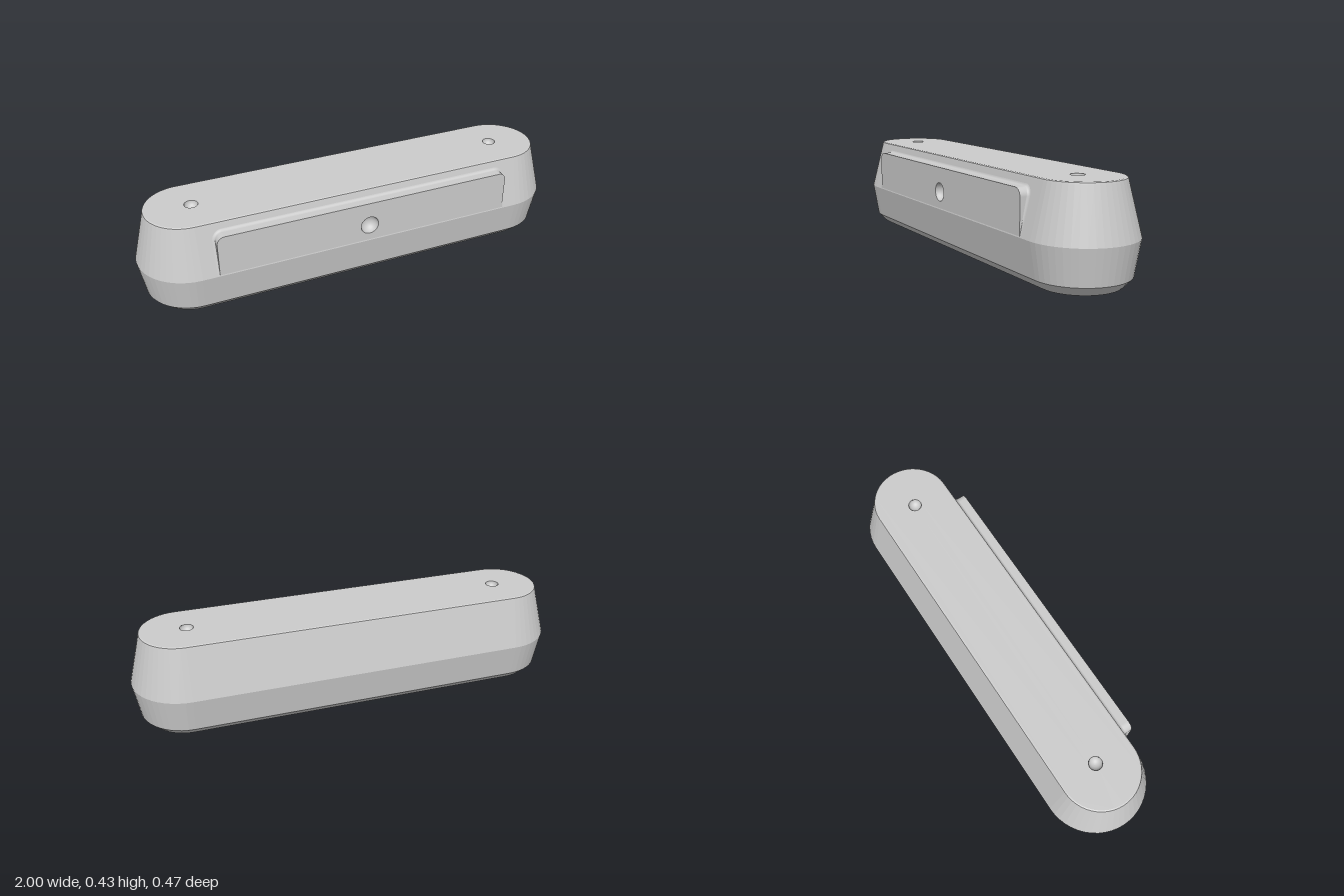
import * as THREE from 'three';

const HALF = 0.764;          // half length of the straight run
const ARC = 24;              // facets on each round end
const WAIST = [0.195, 0.236], SHOULDER = [0.42, 0.179];
const HOLE_X = 0.735, HOLE_R = 0.03;
const DISH_Y = 0.275, DISH_R = 0.042;
const PANEL_X = 0.69, PANEL_TOP = 0.388, PANEL_Z = 0.235, CORNER = 0.035;

const mat = new THREE.MeshStandardMaterial({ color: 0xcccccc, flatShading: true });
const smooth = new THREE.MeshStandardMaterial({ color: 0xcccccc, side: THREE.DoubleSide });

// depth of the sloping upper front wall at height y
const wallZ = y => WAIST[1] + (SHOULDER[1] - WAIST[1]) * (y - WAIST[0]) / (SHOULDER[0] - WAIST[0]);

function add(parent, name, geometry, material = mat) {
  const mesh = new THREE.Mesh(geometry, material);
  mesh.name = name;
  parent.add(mesh);
  return mesh;
}

// round-ended outline with end radius r
function stadium(r) {
  const pts = [];
  for (const s of [1, -1])
    for (let i = 0; i <= ARC; i++) {
      const a = -Math.PI / 2 + Math.PI * i / ARC;
      pts.push(new THREE.Vector2(s * (HALF + r * Math.cos(a)), s * r * Math.sin(a)));
    }
  return pts;
}

function circle(x, y, r) {
  return new THREE.Path().absarc(x, y, r, 0, Math.PI * 2, true);
}

// side walls lofted through [height, end radius] rows
function wallGeometry(rows, skip) {
  const pos = [];
  for (let k = 0; k < rows.length - 1; k++) {
    const lo = stadium(rows[k][1]), hi = stadium(rows[k + 1][1]);
    for (let i = 0; i < lo.length; i++) {
      if (skip(k, i)) continue;
      const j = (i + 1) % lo.length;
      const a = [lo[i].x, rows[k][0], lo[i].y], b = [lo[j].x, rows[k][0], lo[j].y];
      const c = [hi[i].x, rows[k + 1][0], hi[i].y], d = [hi[j].x, rows[k + 1][0], hi[j].y];
      pos.push(...a, ...c, ...b, ...b, ...c, ...d);
    }
  }
  const g = new THREE.BufferGeometry();
  g.setAttribute('position', new THREE.Float32BufferAttribute(pos, 3));
  g.computeVertexNormals();
  return g;
}

// rounded hollow, opening towards +y
function dishGeometry(r, depth) {
  const pts = [];
  for (let i = 0; i <= 8; i++) {
    const a = Math.PI / 2 * i / 8;
    pts.push(new THREE.Vector2(r * Math.sin(a), -depth * Math.cos(a)));
  }
  return new THREE.LatheGeometry(pts, 32);
}

// small concave blend between the panel rim and the sloping wall
function filletGeometry(f, steps) {
  const path = [[PANEL_X, WAIST[0] + 0.005, 0]];
  for (const s of [1, -1])
    for (let i = 0; i <= 8; i++) {
      const a = Math.PI / 2 * (s > 0 ? i : 8 - i) / 8;
      path.push([s * (PANEL_X - CORNER + CORNER * Math.cos(a)), PANEL_TOP - CORNER + CORNER * Math.sin(a), s > 0 ? a : Math.PI - a]);
    }
  path.push([-PANEL_X, WAIST[0] + 0.005, Math.PI]);
  const pos = [], index = [];
  path.forEach(([x, y, a], i) => {
    for (let k = 0; k <= steps; k++) {
      const t = Math.PI / 2 * k / steps, out = f * (1 - Math.sin(t));
      const py = y + Math.sin(a) * out;
      const z = wallZ(py) + f * (1 - Math.cos(t));
      pos.push(x + Math.cos(a) * out, py, Math.min(z, PANEL_Z));
      if (i && k) {
        const q = i * (steps + 1) + k, p = q - steps - 1;
        index.push(p - 1, p, q - 1, q - 1, p, q);
      }
    }
  });
  const g = new THREE.BufferGeometry();
  g.setAttribute('position', new THREE.Float32BufferAttribute(pos, 3));
  g.setIndex(index);
  g.computeVertexNormals();
  return g;
}

export function createModel() {
  const model = new THREE.Group();
  model.name = 'capsuleHousing';

  // body walls, leaving the upper front open for the pierced wall
  const rows = [[0.005, 0.16], [0, 0.162], [0, 0.171], [0.04, 0.21], WAIST, SHOULDER, [0.427, 0.177], [0.43, 0.171]];
  const waistRow = rows.indexOf(WAIST);
  add(model, 'bodyWalls', wallGeometry(rows, (k, i) => k === waistRow && i === ARC));

  // sloping front wall with an opening behind the dish
  const front = new THREE.Shape([
    new THREE.Vector2(-HALF, WAIST[0]), new THREE.Vector2(HALF, WAIST[0]),
    new THREE.Vector2(HALF, SHOULDER[0]), new THREE.Vector2(-HALF, SHOULDER[0])]);
  front.holes.push(circle(0, DISH_Y, DISH_R));
  const frontGeo = new THREE.ShapeGeometry(front, 32);
  const p = frontGeo.attributes.position;
  for (let i = 0; i < p.count; i++) p.setZ(i, wallZ(p.getY(i)));
  frontGeo.computeVertexNormals();
  add(model, 'frontWall', frontGeo);

  // bottom plate, slightly recessed
  add(model, 'bottomPlate', new THREE.ShapeGeometry(new THREE.Shape(stadium(0.16))).rotateX(Math.PI / 2).translate(0, 0.005, 0));

  // top face with two holes
  const top = new THREE.Shape(stadium(0.171));
  for (const s of [1, -1]) top.holes.push(circle(s * HOLE_X, 0, HOLE_R));
  add(model, 'topFace', new THREE.ShapeGeometry(top, 32).rotateX(-Math.PI / 2).translate(0, 0.43, 0));
  for (const s of [1, -1])
    add(model, s > 0 ? 'leftTopHole' : 'rightTopHole', dishGeometry(HOLE_R, 0.03), smooth).position.set(s * HOLE_X, 0.43, 0);

  // raised front panel with rounded upper corners
  const panel = new THREE.Shape();
  panel.moveTo(-PANEL_X, WAIST[0] + 0.005);
  panel.lineTo(PANEL_X, WAIST[0] + 0.005);
  panel.absarc(PANEL_X - CORNER, PANEL_TOP - CORNER, CORNER, 0, Math.PI / 2);
  panel.absarc(-PANEL_X + CORNER, PANEL_TOP - CORNER, CORNER, Math.PI / 2, Math.PI);
  panel.closePath();
  panel.holes.push(circle(0, DISH_Y, DISH_R));
  const depth = 0.055;
  add(model, 'frontPanel', new THREE.ExtrudeGeometry(panel, { depth, bevelEnabled: false, curveSegments: 32 }).translate(0, 0, PANEL_Z - depth));
  add(model, 'panelFillet', filletGeometry(0.01, 4), smooth);

  // hollow in the middle of the panel
  add(model, 'panelDish', dishGeometry(DISH_R, 0.04).rotateX(Math.PI / 2), smooth).position.set(0, DISH_Y, PANEL_Z);

  return model;
}
